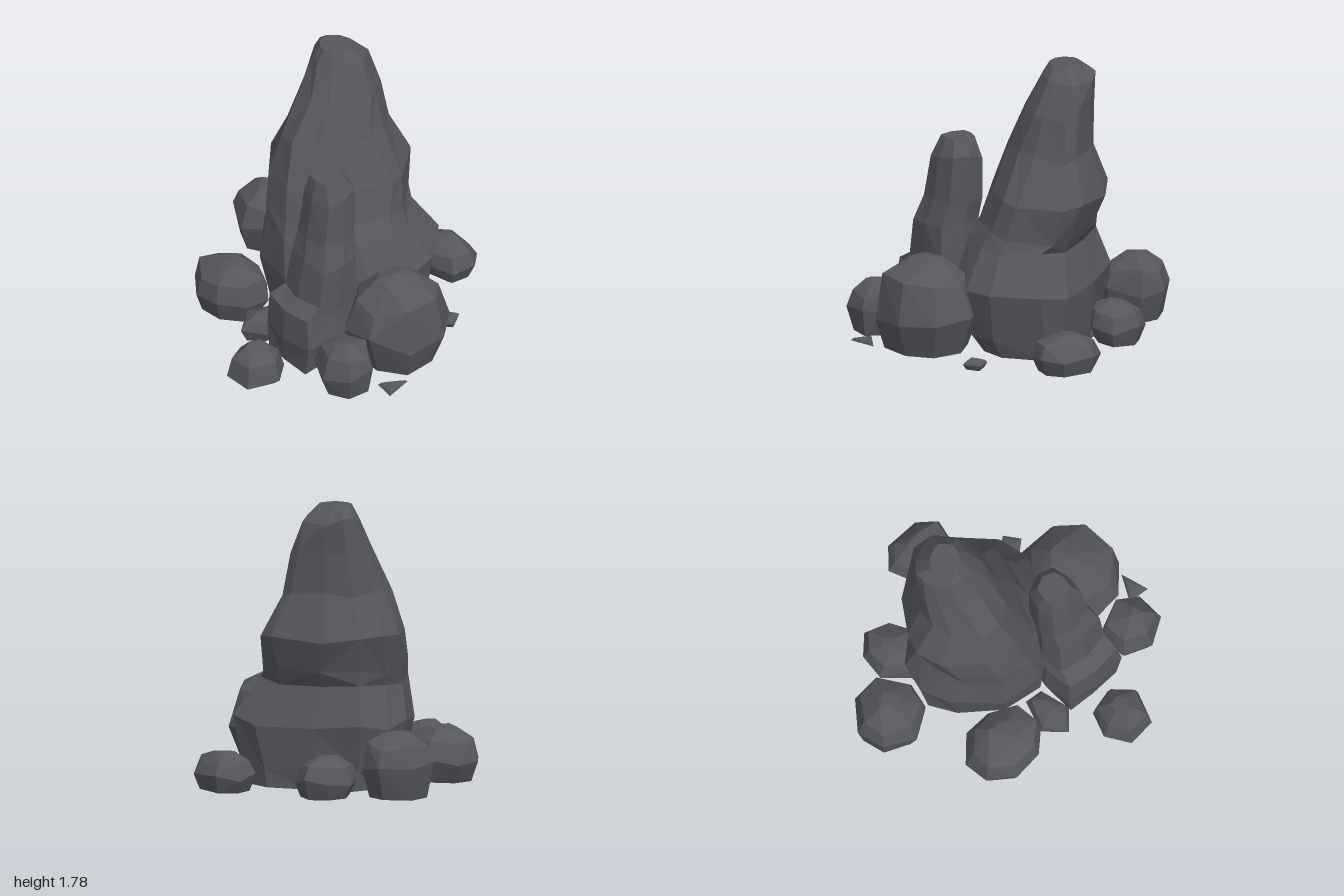
import * as THREE from 'three';
import { ConvexGeometry } from 'three/addons/geometries/ConvexGeometry.js';

const stone = new THREE.MeshStandardMaterial({ color: 0x56575c, flatShading: true });

// Small seeded generator, values in -1..1
function seeded(seed) {
  let s = seed * 7919 + 17;
  const next = () => {
    s = (s * 16807) % 2147483647;
    return (s / 2147483647) * 2 - 1;
  };
  for (let i = 0; i < 5; i++) next();
  return next;
}

// Stretch points so one axis fills lo..hi exactly
function fit(points, axis, lo, hi) {
  const values = points.map((p) => p[axis]);
  const min = Math.min(...values), max = Math.max(...values);
  points.forEach((p) => { p[axis] = lo + ((p[axis] - min) / (max - min)) * (hi - lo); });
}

function addMesh(group, name, geometry) {
  const mesh = new THREE.Mesh(geometry, stone);
  mesh.name = name;
  group.add(mesh);
}

// Faceted column: an outline (x, z) lofted through rings given as [y, x0, x1, z0, z1],
// growing rounder towards the tip
function column(outline, rings, seed) {
  const rand = seeded(seed);
  const sides = outline.length, last = rings.length - 1;
  const pos = [], index = [];
  rings.forEach(([y, x0, x1, z0, z1], r) => {
    const inner = r > 0 && r < last;
    const loop = outline.map(([x, z]) => {
      const p = new THREE.Vector3(x, 0, z);
      p.lerp(p.clone().normalize(), (0.6 * r) / last);
      p.x += rand() * 0.05;
      p.z += rand() * 0.05;
      p.y = y + (inner ? rand() * 0.025 : 0);
      return p;
    });
    fit(loop, 'x', x0, x1);
    fit(loop, 'z', z0, z1);
    loop.forEach((p) => pos.push(p.x, Math.min(p.y, rings[last][0]), p.z));
  });
  for (let r = 0; r < last; r++) {
    for (let i = 0; i < sides; i++) {
      const j = (i + 1) % sides;
      const a = r * sides + i, b = r * sides + j, c = a + sides, d = b + sides;
      if ((i + r) % 2) index.push(a, c, b, b, c, d);
      else index.push(a, c, d, a, d, b);
    }
  }
  // Closing fans at the foot and the tip
  [0, last].forEach((r) => {
    const [y, x0, x1, z0, z1] = rings[r];
    const centre = pos.length / 3;
    pos.push((x0 + x1) / 2, y, (z0 + z1) / 2);
    for (let i = 0; i < sides; i++) {
      const a = r * sides + i, b = r * sides + ((i + 1) % sides);
      if (r === 0) index.push(centre, a, b);
      else index.push(centre, b, a);
    }
  });
  const g = new THREE.BufferGeometry();
  g.setAttribute('position', new THREE.Float32BufferAttribute(pos, 3));
  g.setIndex(index);
  const flat = g.toNonIndexed();
  flat.computeVertexNormals();
  return flat;
}

// Chipped rock: hull of an uneven polygon repeated as foot, belly, shoulder and cap
function rock([x0, x1, z0, z1], [y0, belly, y1], sides, turn, seed) {
  const rand = seeded(seed);
  const h = y1 - y0;
  const cx = (x0 + x1) / 2, cz = (z0 + z1) / 2;
  const outline = Array.from({ length: sides }, (_, i) => {
    const a = THREE.MathUtils.degToRad(turn) + ((i + rand() * 0.12) / sides) * Math.PI * 2;
    return { x: Math.cos(a), z: Math.sin(a) };
  });
  fit(outline, 'x', x0, x1);
  fit(outline, 'z', z0, z1);
  const layers = [
    [0.78, y0, 0],
    [1, belly, 0.1],
    [0.82, belly + (y1 - belly) * 0.6, 0.07],
    [0.36, y1 - h * 0.04, 0.04],
  ];
  const points = [new THREE.Vector3(cx, y1, cz)];
  for (const [scale, y, wobble] of layers) {
    for (const { x, z } of outline) {
      const k = scale === 1 ? 1 : scale * (1 + rand() * 0.08);
      const py = THREE.MathUtils.clamp(y + rand() * wobble * h, y0, y1);
      points.push(new THREE.Vector3(cx + (x - cx) * k, py, cz + (z - cz) * k));
    }
  }
  return new ConvexGeometry(points);
}

export function createModel() {
  const group = new THREE.Group();
  group.name = 'rockFormation';

  // Tall spire with a broad foot, a waist and a bulging shoulder
  const spireOutline = [
    [1, -0.25], [0.85, 0.3], [0.55, 0.68], [0.15, 1], [-0.4, 0.95], [-0.85, 0.55],
    [-1, 0.18], [-0.92, -0.18], [-0.5, -0.55], [0.06, -0.95], [0.45, -1], [0.92, -0.55],
  ];
  addMesh(group, 'tallSpire', column(spireOutline, [
    [0.02, -0.47, 0.38, -0.63, 0.28],
    [0.13, -0.53, 0.45, -0.65, 0.34],
    [0.42, -0.57, 0.50, -0.69, 0.37],
    [0.66, -0.46, 0.36, -0.54, 0.34],
    [0.75, -0.49, 0.31, -0.57, 0.31],
    [0.97, -0.57, 0.26, -0.63, 0.27],
    [1.23, -0.44, 0.11, -0.51, 0.18],
    [1.50, -0.42, 0.04, -0.47, 0.02],
    [1.70, -0.40, -0.06, -0.43, -0.08],
    [1.78, -0.32, -0.12, -0.33, -0.13],
  ], 4));

  // Slimmer, squarer spire in front
  const squareOutline = [
    [0.9, 0], [1, 0.92], [0, 1], [-0.92, 0.88], [-1, 0.1], [-0.8, -0.72], [0, -1], [0.72, -0.8],
  ];
  addMesh(group, 'shortSpire', column(squareOutline, [
    [0.02, 0.11, 0.49, 0.12, 0.56],
    [0.20, 0.07, 0.53, 0.09, 0.59],
    [0.40, 0.09, 0.50, 0.09, 0.57],
    [0.47, 0.10, 0.49, 0.09, 0.48],
    [0.72, 0.12, 0.49, 0.09, 0.43],
    [0.85, 0.13, 0.45, 0.08, 0.39],
    [1.15, 0.14, 0.42, 0.06, 0.35],
    [1.26, 0.18, 0.37, 0.12, 0.31],
  ], 9));

  // Loose rocks around the foot: name, plan bounds, [foot, belly, top] heights, sides, turn
  const rocks = [
    ['largeBoulder', [0.34, 0.94, -0.35, 0.28], [0.03, 0.26, 0.62], 8, 22],
    ['sideBoulder', [-1.00, -0.55, -0.35, 0.10], [0.03, 0.22, 0.44], 7, 190],
    ['frontBoulder', [-0.63, -0.12, 0.25, 0.68], [0.02, 0.16, 0.35], 8, 20],
    ['cornerBoulder', [0.55, 0.90, 0.26, 0.61], [0.02, 0.17, 0.36], 6, 30],
    ['rearSideRock', [-0.62, -0.28, -0.65, -0.24], [0.01, 0.12, 0.27], 7, 0],
    ['rearRock', [-0.11, 0.33, -0.98, -0.65], [0.01, 0.11, 0.25], 7, -15],
    ['frontRock', [0.14, 0.49, 0.62, 0.97], [0.02, 0.04, 0.25], 6, -10],
    ['wedgeRock', [-0.13, 0.10, 0.34, 0.67], [0.02, 0.10, 0.19], 5, 95],
    ['rearChip', [0.49, 0.65, -0.57, -0.39], [0.00, 0.03, 0.06], 4, 10],
    ['sideChip', [0.86, 1.00, 0.11, 0.29], [0.03, 0.035, 0.06], 3, 30],
  ];
  rocks.forEach(([name, bounds, heights, sides, turn], i) => {
    addMesh(group, name, rock(bounds, heights, sides, turn, i + 3));
  });

  return group;
}
